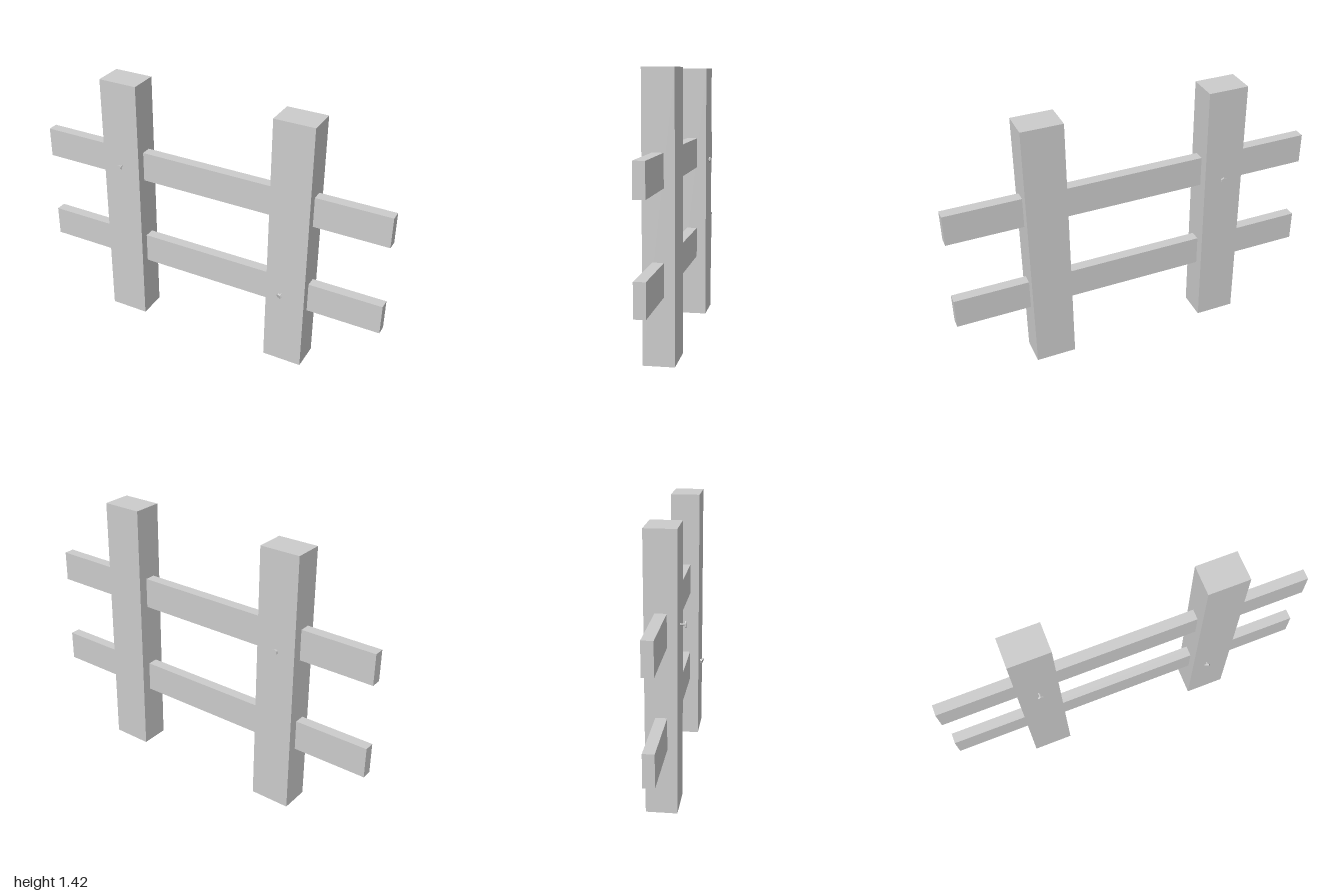
import * as THREE from 'three';

const material = new THREE.MeshStandardMaterial({ color: 0xcccccc, flatShading: true });

// Box given by its minimum and maximum corners
function beam(name, min, max) {
  const size = max.map((v, i) => v - min[i]);
  const mesh = new THREE.Mesh(new THREE.BoxGeometry(...size), material);
  mesh.name = name;
  mesh.position.set(...max.map((v, i) => (v + min[i]) / 2));
  return mesh;
}

// Nail whose head top is centred at tip and faces along direction
function nail(name, tip, direction) {
  const group = new THREE.Group();
  group.name = name;
  const head = new THREE.Mesh(new THREE.CylinderGeometry(0.016, 0.016, 0.008, 6), material);
  head.name = 'nailHead';
  head.position.y = -0.004;
  const shank = new THREE.Mesh(new THREE.CylinderGeometry(0.005, 0.005, 0.06, 6), material);
  shank.name = 'nailShank';
  shank.position.y = -0.038;
  group.add(head, shank);
  group.position.set(...tip);
  group.quaternion.setFromUnitVectors(
    new THREE.Vector3(0, 1, 0),
    new THREE.Vector3(...direction).normalize()
  );
  return group;
}

export function createModel() {
  const fence = new THREE.Group();
  fence.name = 'fence';

  // Upright posts
  fence.add(beam('rightPost', [-0.6, 0, -0.088], [-0.384, 1.42, 0.07]));
  fence.add(beam('leftPost', [0.383, 0, -0.088], [0.6, 1.42, 0.07]));

  // Horizontal rails running through the posts
  for (const [name, y] of [['lowerRail', 0.341], ['upperRail', 0.86]]) {
    fence.add(beam(name, [-1, y, -0.036], [1, y + 0.166, 0.021]));
  }

  // Nails: one standing proud, one bent, one driven in from the back
  fence.add(nail('frontNail', [-0.492, 0.945, 0.101], [0, 0, 1]));
  fence.add(nail('bentNail', [0.464, 0.425, 0.087], [-0.35, -0.35, 1]));
  fence.add(nail('backNail', [-0.492, 0.895, -0.099], [0, 0, -1]));

  return fence;
}
